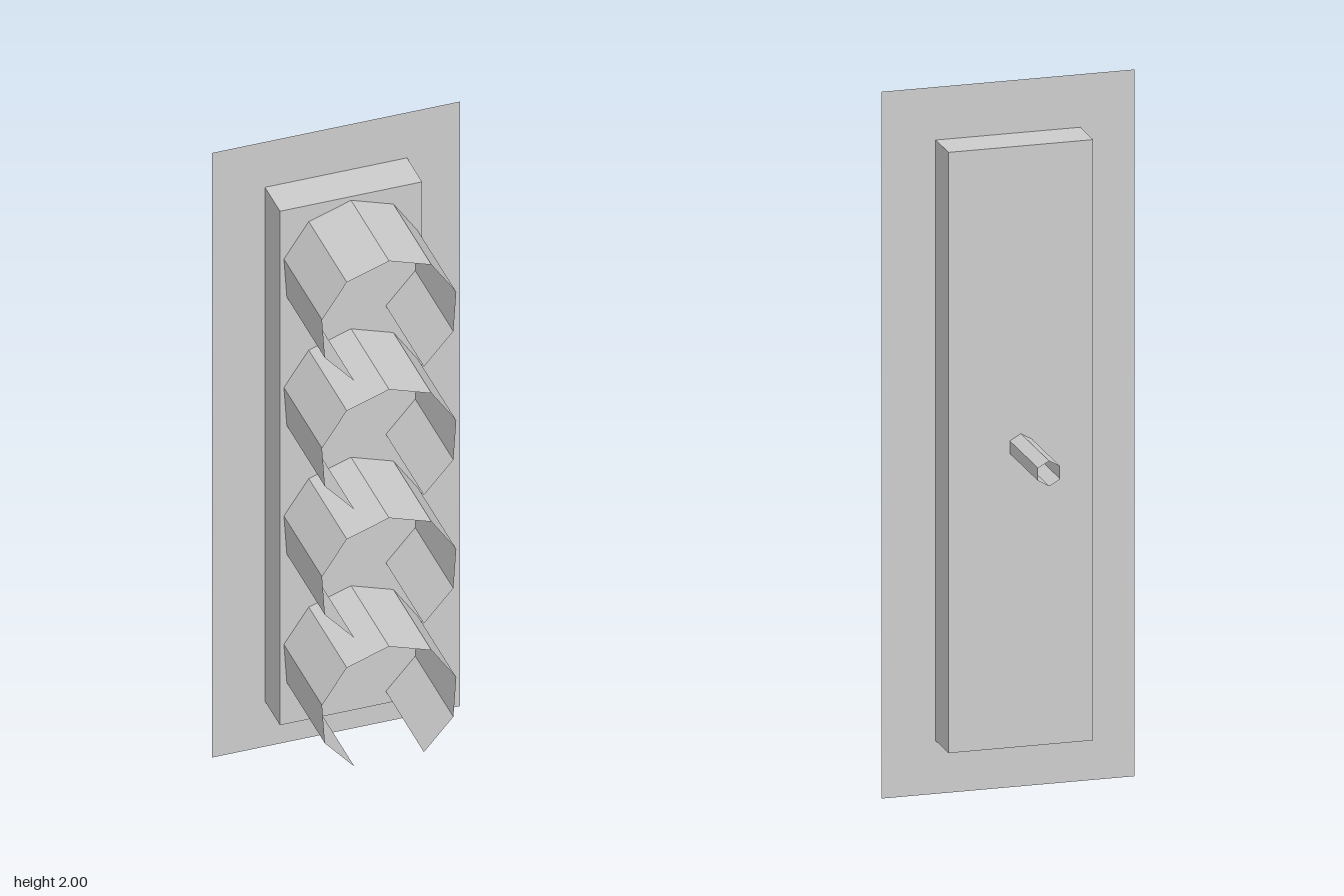
import * as THREE from 'three';

export function createModel() {
  const group = new THREE.Group();
  group.name = 'signalLight';
  const grey = new THREE.MeshStandardMaterial({
    color: 0xcccccc, flatShading: true, side: THREE.DoubleSide,
  });
  grey.name = 'grey';

  const add = (name, geometry, x, y, z) => {
    const mesh = new THREE.Mesh(geometry, grey);
    mesh.name = name;
    mesh.position.set(x, y, z);
    group.add(mesh);
  };

  // Housing and the flat sheet around its middle
  add('housing', new THREE.BoxGeometry(0.409, 1.7, 0.24), 0, 1, -0.02);
  add('backPlate', new THREE.PlaneGeometry(0.715, 2), 0, 1, -0.02);

  // Four open hoods, with a gap at the bottom
  const arc = THREE.MathUtils.degToRad(300);
  const hood = new THREE.CylinderGeometry(0.2, 0.2, 0.304, 8, 1, true, -arc / 2, arc)
    .rotateX(-Math.PI / 2);
  for (let i = 0; i < 4; i++) add(`hood${i + 1}`, hood, 0, 1 + (1.5 - i) * 0.425, 0.252);

  // Open hexagonal mounting tube at the back
  const tube = new THREE.CylinderGeometry(0.036, 0.036, 0.264, 6, 1, true).rotateX(-Math.PI / 2);
  add('mountingTube', tube, 0, 1, -0.272);

  return group;
}
